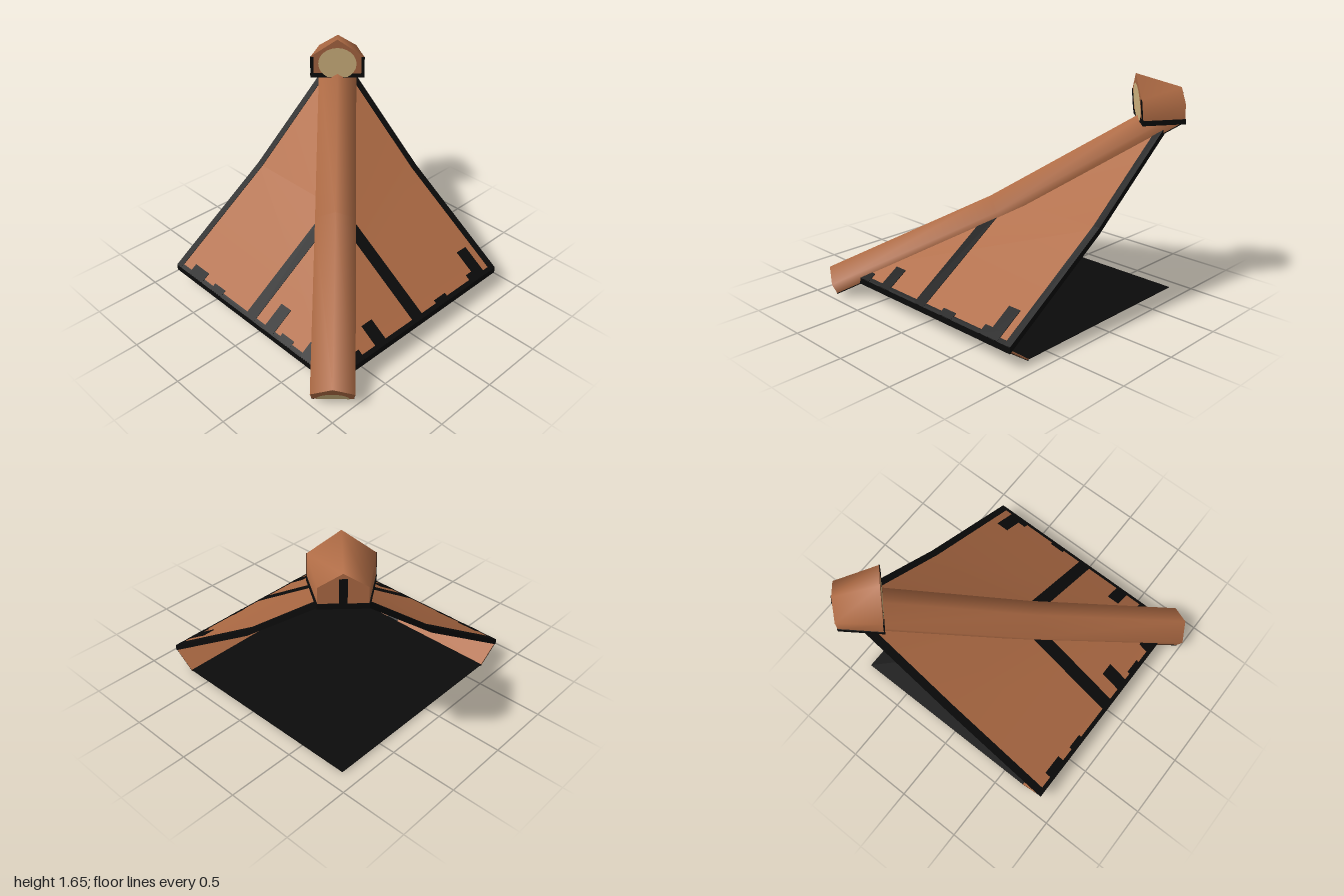
import * as THREE from 'three';
import { toCreasedNormals } from 'three/addons/utils/BufferGeometryUtils.js';

const material = (name, color) => {
  const m = new THREE.MeshStandardMaterial({ color, side: THREE.DoubleSide });
  m.name = name;
  return m;
};

// Closed solid through convex rings of [x, y, z] points; faces are turned outward by signed volume
function loft(rings, crease = 1.2) {
  const n = rings[0].length, idx = [], pts = rings.flat();
  for (let r = 0; r < rings.length - 1; r++) {
    for (let i = 0; i < n; i++) {
      const a = r * n + i, b = r * n + (i + 1) % n;
      idx.push(a, b, a + n, b, b + n, a + n);
    }
  }
  const last = (rings.length - 1) * n;
  for (let i = 1; i < n - 1; i++) idx.push(0, i + 1, i, last, last + i, last + i + 1);
  const v = pts.map(p => new THREE.Vector3(...p));
  let volume = 0;
  for (let i = 0; i < idx.length; i += 3) {
    volume += v[idx[i]].dot(v[idx[i + 1]].clone().cross(v[idx[i + 2]]));
  }
  if (volume < 0) idx.reverse();
  const g = new THREE.BufferGeometry();
  g.setAttribute('position', new THREE.Float32BufferAttribute(pts.flat(), 3));
  g.setIndex(idx);
  return toCreasedNormals(g, crease);
}

// Heights by distance d toward the eave: slightly kinked roof, and the soffit under it
const roofY = d => d > 0 ? 0.69 - 0.56 * d / 0.85 : 0.69 - 0.71 * d / 0.88;
const soffitY = d => 0.12 * (d - 0.68) / 0.17;

// Sloping plate from a0 to a1 along the eave, cut off along the hip (a = -d)
function plate(a0, a1, d0, d1, t, height, place) {
  const low = Math.max(d0, -a1 + 0.001);
  const rows = [low, 0, -a0, d1].filter(d => d >= low && d <= d1).sort((p, q) => p - q)
    .filter((d, i, all) => i === 0 || d - all[i - 1] > 1e-4);
  return loft(rows.map(d => {
    const l = Math.max(a0, -d), y = height(d);
    return [place(l, y + t, d), place(a1, y + t, d), place(a1, y - t, d), place(l, y - t, d)];
  }), 0.9);
}

export function createModel() {
  const root = new THREE.Group();
  root.name = 'hipRoofCorner';
  const clay = material('clay', 0xb06c45);
  const black = material('black', 0x0b0b0b);
  const cream = material('cream', 0xdabd86);
  const add = (parent, name, geometry, mat) => {
    const mesh = new THREE.Mesh(geometry, mat);
    mesh.name = name;
    parent.add(mesh);
    return mesh;
  };

  // Dark base
  add(root, 'base', new THREE.BoxGeometry(1.56, 0.006, 1.56), black).position.set(0.1, 0.003, -0.1);

  // Two roof slopes; marks are [centre, width, length up from the eave]
  const slopes = [
    {
      name: 'front', place: (a, y, d) => [a, y, d],
      marks: [[-0.37, 0.1, 0.16], [0.72, 0.1, 0.21], [0.68, 0.15, 0.06], [0.28, 0.12, 0.045], [-0.6, 0.1, 0.06]],
      patches: [-0.38],
    },
    {
      name: 'side', place: (a, y, d) => [-d, y, -a],
      marks: [[0.65, 0.16, 0.07], [0.4, 0.12, 0.045], [-0.19, 0.1, 0.18], [-0.36, 0.12, 0.045], [-0.58, 0.1, 0.1]],
      patches: [-0.6, 0.52],
    },
  ];
  for (const { name, place, marks, patches } of slopes) {
    const g = new THREE.Group();
    g.name = name + 'Slope';
    root.add(g);
    const roof = (part, a0, a1, d0, d1, t, mat) =>
      add(g, part, plate(a0, a1, d0, d1, t, roofY, place), mat);
    roof('roofPanel', -0.85, 0.88, -0.88, 0.85, 0.02, clay);
    roof('endTrim', 0.83, 0.884, -0.88, 0.852, 0.024, black);
    roof('middleStripe', -0.04, 0.06, -0.06, 0.852, 0.024, black);
    roof('eaveTrim', -0.85, 0.88, 0.825, 0.853, 0.023, black);
    for (const [c, w, len] of marks) {
      roof('eaveMark', c - w / 2, c + w / 2, 0.85 - len, 0.852, 0.025, black);
    }
    // Soffit leaning in to the base
    const under = d => soffitY(d) - 0.007;
    add(g, 'soffit', plate(-0.85, 0.88, 0.68, 0.85, 0.006, soffitY, place), clay);
    add(g, 'soffitStripe', plate(-0.06, 0.045, 0.68, 0.85, 0.009, soffitY, place), black);
    add(g, 'soffitEndTrim', plate(0.83, 0.88, 0.68, 0.85, 0.003, under, place), black);
    for (const c of patches) {
      add(g, 'soffitPatch', plate(c - 0.1, c + 0.1, 0.75, 0.79, 0.003, under, place), cream);
    }
  }

  // Hip beam and cap, built along local x and turned onto the diagonal
  const hip = new THREE.Group();
  hip.name = 'hip';
  hip.rotation.y = Math.PI / 4;
  root.add(hip);

  const stations = [[-1.31, 0.18, 0.436], [-0.1, 0.74, 0.48], [1.17, 1.468, 0.52]];
  const alongBeam = section => loft(stations.map(([s, y, tilt]) =>
    section.map(([p, v]) => [s - Math.sin(tilt) * v, y + Math.cos(tilt) * v, p])));
  add(hip, 'hipBeam', alongBeam([[0, 0], [0.15, -0.09], [0.14, -0.17], [-0.14, -0.17], [-0.15, -0.09]]), clay);
  for (const side of [-1, 1]) {
    add(hip, 'beamEdge', alongBeam([[0.125, -0.168], [0.143, -0.168], [0.143, -0.174], [0.125, -0.174]]
      .map(([p, v]) => [p * side, v])), black);
  }
  const faceDisc = (name, x, y, tilt, rx, ry, arc) => {
    const disc = add(hip, name, new THREE.CircleGeometry(1, 24, 0, arc), cream);
    disc.rotation.set(0, -Math.PI / 2, tilt, 'ZYX');
    disc.scale.set(rx, ry, 1);
    disc.position.set(x, y, 0);
  };
  faceDisc('beamEndFace', -1.243, 0.028, 0.436, 0.11, 0.085, Math.PI);

  // Flared cap at the top of the hip
  const capRing = (s, lean, top, shoulder, w) =>
    [[top, 0], [shoulder, w], [1.31, w], [1.31, -w], [shoulder, -w]]
      .map(([y, p]) => [s + (top - y) * lean, y, p]);
  add(hip, 'cap', loft([capRing(0.92, 0.1, 1.64, 1.49, 0.21), capRing(1.25, 0.03, 1.54, 1.45, 0.15)]), clay);
  const bandRing = (s, w) => [[s, 1.307, w], [s, 1.343, w], [s, 1.343, -w], [s, 1.307, -w]];
  add(hip, 'capBand', loft([bandRing(0.949, 0.214), bandRing(1.26, 0.154)]), black);
  faceDisc('capFace', 0.937, 1.43, 0.1, 0.15, 0.14, Math.PI * 2);
  for (const side of [-1, 1]) {
    const edge = add(hip, 'capFaceEdge', new THREE.BoxGeometry(0.008, 0.16, 0.025), black);
    edge.position.set(0.942, 1.41, side * 0.2);
    edge.rotation.z = 0.1;
  }
  add(hip, 'capBackStripe', new THREE.BoxGeometry(0.008, 0.17, 0.05), black).position.set(1.255, 1.42, 0);
  return root;
}
